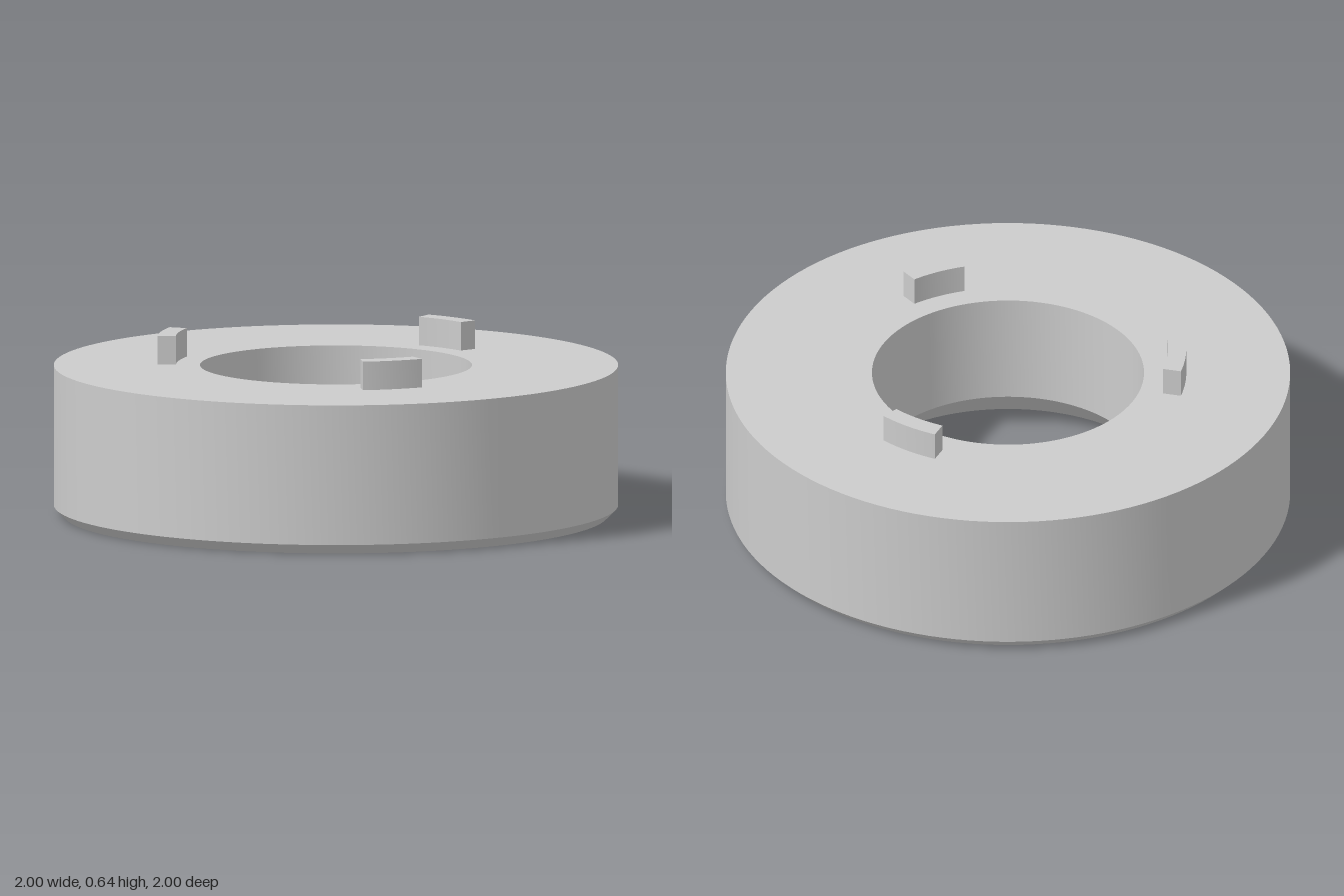
import * as THREE from 'three';
import { toCreasedNormals } from 'three/addons/utils/BufferGeometryUtils.js';

const TOP = 0.535;

// Ring cross-section: chamfered outside, straight bore, countersunk underside
function ringGeometry() {
  const profile = [
    [0.613, 0], [0.965, 0], [1, 0.035], [1, TOP],
    [0.482, TOP], [0.482, 0.133], [0.613, 0],
  ].map(([r, y]) => new THREE.Vector2(r, y));
  return toCreasedNormals(new THREE.LatheGeometry(profile, 128), 0.5);
}

// Curved locating tab, centred on +z
function tabGeometry() {
  const half = THREE.MathUtils.degToRad(10);
  const mid = -Math.PI / 2;
  const shape = new THREE.Shape();
  shape.absarc(0, 0, 0.632, mid - half, mid + half, false);
  shape.absarc(0, 0, 0.567, mid + half, mid - half, true);
  shape.closePath();
  const geometry = new THREE.ExtrudeGeometry(shape, {
    depth: 0.102, bevelEnabled: false, curveSegments: 8,
  });
  geometry.rotateX(-Math.PI / 2);
  return toCreasedNormals(geometry, 0.5);
}

export function createModel() {
  const model = new THREE.Group();
  model.name = 'lockingRing';
  const grey = new THREE.MeshStandardMaterial({ color: 0xcccccc });
  grey.name = 'light grey';

  const ring = new THREE.Mesh(ringGeometry(), grey);
  ring.name = 'ringBody';
  model.add(ring);

  // Three tabs evenly spaced around the top face
  const tabShape = tabGeometry();
  ['frontTab', 'backLeftTab', 'backRightTab'].forEach((name, i) => {
    const tab = new THREE.Mesh(tabShape, grey);
    tab.name = name;
    tab.position.y = TOP;
    tab.rotation.y = (i * Math.PI * 2) / 3;
    model.add(tab);
  });

  return model;
}
